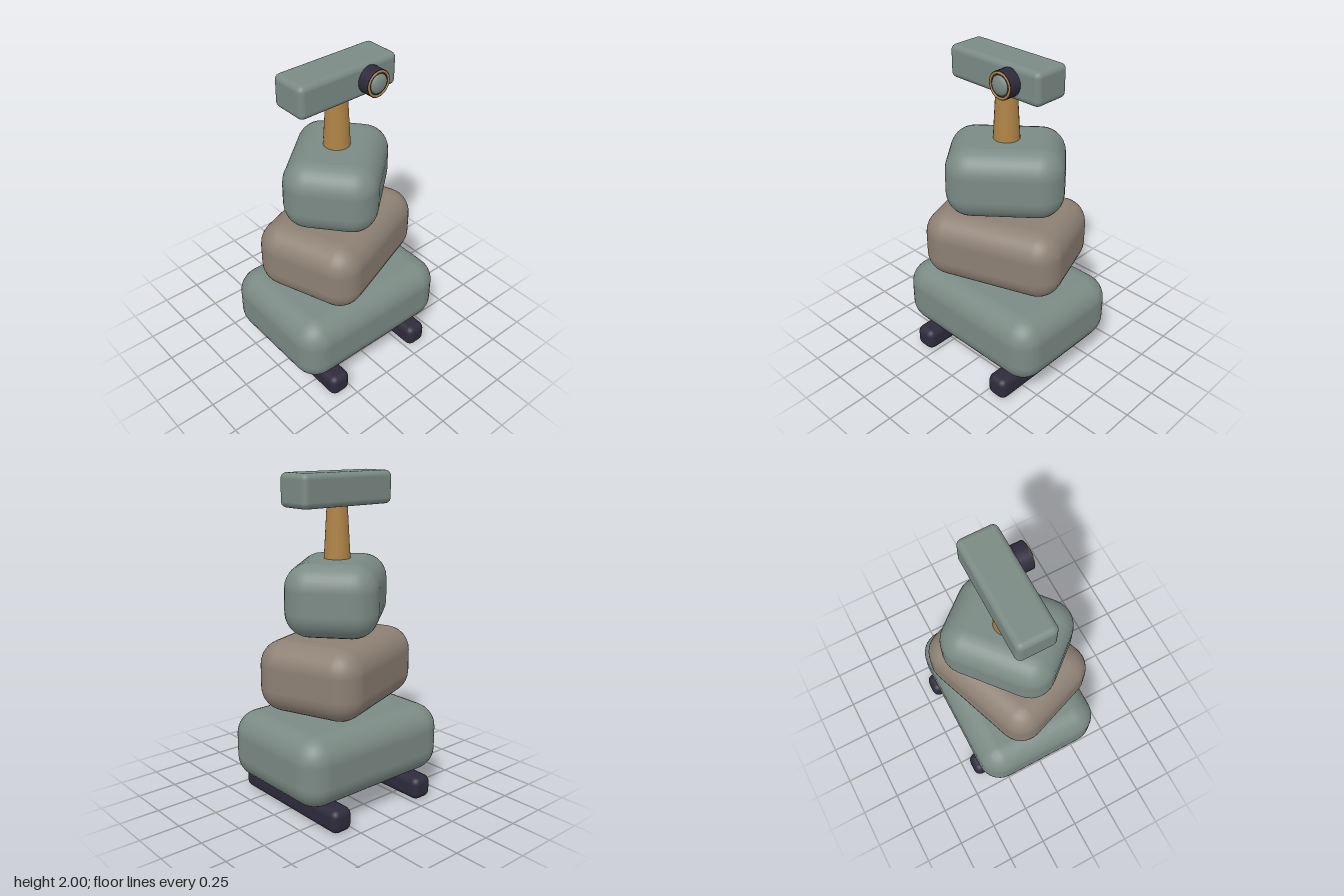
import * as THREE from 'three';
import { RoundedBoxGeometry } from 'three/addons/geometries/RoundedBoxGeometry.js';

function material(name, color) {
  const m = new THREE.MeshStandardMaterial({ color });
  m.name = name;
  return m;
}

export function createModel() {
  const sage = material('sage green', 0x7b8a84);
  const taupe = material('taupe', 0x8d8074);
  const brass = material('brass', 0xae8346);
  const navy = material('dark navy', 0x2e2b3c);

  const group = new THREE.Group();
  const add = (name, geometry, mat, x, y, z) => {
    const mesh = new THREE.Mesh(geometry, mat);
    mesh.name = name;
    mesh.position.set(x, y, z);
    group.add(mesh);
    return mesh;
  };

  // Skids under the body
  for (const side of [-1, 1]) {
    add(side > 0 ? 'leftSkid' : 'rightSkid',
      new RoundedBoxGeometry(0.14, 0.145, 0.89, 3, 0.045), navy, side * 0.328, 0.0725, 0);
  }

  // Three stacked blocks, each smaller and turned further
  const blocks = [
    ['lowerBlock', 1.08, 0.82, 0.352, 0, sage],
    ['middleBlock', 0.87, 0.67, 0.828, 20, taupe],
    ['upperBlock', 0.69, 0.55, 1.282, 40, sage],
  ];
  for (const [name, width, depth, y, turn, mat] of blocks) {
    const block = add(name, new RoundedBoxGeometry(width, 0.435, depth, 4, 0.15), mat, 0, y, 0);
    block.rotation.y = THREE.MathUtils.degToRad(turn);
  }

  // Tapered neck and head bar
  add('neck', new THREE.CylinderGeometry(0.06, 0.08, 0.35, 24), brass, 0, 1.655, 0);
  add('head', new RoundedBoxGeometry(0.67, 0.195, 0.235, 3, 0.035), sage, 0, 1.9025, -0.002);

  // Eye: barrel, trim ring and shallow domed lens
  const barrel = add('eyeBarrel', new THREE.CylinderGeometry(0.08, 0.08, 0.09, 24), navy, 0.132, 1.904, 0.143);
  barrel.rotation.x = Math.PI / 2;
  add('eyeRing', new THREE.TorusGeometry(0.07, 0.007, 8, 32), brass, 0.132, 1.904, 0.187);
  const lens = add('eyeLens',
    new THREE.SphereGeometry(0.057, 24, 8, 0, Math.PI * 2, 0, Math.PI / 2), sage, 0.132, 1.904, 0.186);
  lens.rotation.x = Math.PI / 2;
  lens.scale.y = 0.42;

  return group;
}
